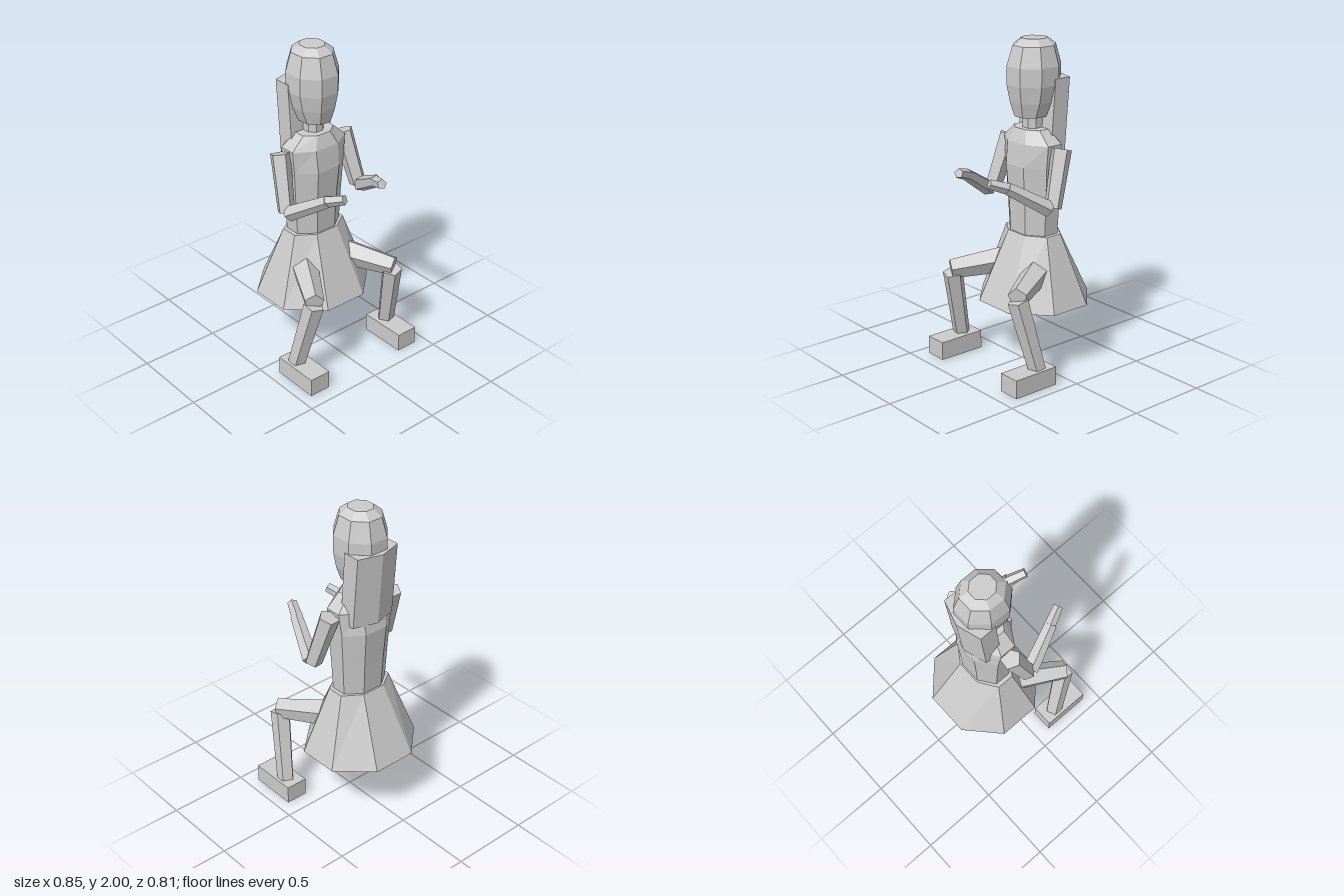
import * as THREE from 'three';

const material = new THREE.MeshStandardMaterial({ color: 0xcccccc, flatShading: true });

function addMesh(parent, name, geometry) {
  const mesh = new THREE.Mesh(geometry, material);
  mesh.name = name;
  parent.add(mesh);
  return mesh;
}

// Octagonal body through rings [y, half width, front z, back z], top to bottom
function octagonLoft(rings) {
  const n = rings.length - 1;
  const g = new THREE.CylinderGeometry(1, 1, 1, 8, n, false, Math.PI / 8);
  const p = g.attributes.position;
  const k = 1 / Math.cos(Math.PI / 8);
  for (let i = 0; i < p.count; i++) {
    const [y, w, front, back] = rings[Math.round((0.5 - p.getY(i)) * n)];
    p.setXYZ(i, p.getX(i) * k * w, y, (front + back) / 2 + p.getZ(i) * k * (front - back) / 2);
  }
  g.computeVertexNormals();
  return g;
}

// Tapered five-sided limb between two points
function addLimb(parent, name, from, to, r0, r1) {
  const a = new THREE.Vector3(...from), b = new THREE.Vector3(...to);
  const dir = b.clone().sub(a);
  const mesh = addMesh(parent, name, new THREE.CylinderGeometry(r1, r0, dir.length(), 5));
  mesh.position.copy(a).add(b).multiplyScalar(0.5);
  mesh.quaternion.setFromUnitVectors(new THREE.Vector3(0, 1, 0), dir.normalize());
  return mesh;
}

export function createModel() {
  const model = new THREE.Group();
  model.name = 'seatedFigure';

  // Head, neck, torso and skirt
  addMesh(model, 'head', octagonLoft([
    [2.0, 0.07, -0.015, -0.165],
    [1.96, 0.115, 0.035, -0.215],
    [1.84, 0.145, 0.07, -0.248],
    [1.73, 0.145, 0.07, -0.248],
    [1.63, 0.125, 0.053, -0.215],
    [1.54, 0.09, 0.03, -0.16],
  ]));
  addMesh(model, 'neck', octagonLoft([
    [1.56, 0.058, -0.022, -0.14],
    [1.45, 0.058, -0.022, -0.14],
  ]));
  addMesh(model, 'torso', octagonLoft([
    [1.47, 0.115, 0.015, -0.155],
    [1.39, 0.2, 0.045, -0.205],
    [1.25, 0.19, 0.06, -0.232],
    [1.02, 0.175, 0.042, -0.215],
    [0.81, 0.163, 0.035, -0.205],
  ]));
  addMesh(model, 'skirt', octagonLoft([
    [0.83, 0.19, 0.045, -0.215],
    [0.395, 0.34, 0.225, -0.41],
  ]));

  // Long hair hanging behind the head, leaning back towards the top
  const outline = new THREE.Shape([
    [0, 0.245], [-0.15, 0.2], [-0.15, 0.09], [0.15, 0.09], [0.15, 0.2],
  ].map(([x, y]) => new THREE.Vector2(x, y)));
  const hair = new THREE.ExtrudeGeometry(outline, { depth: 0.46, bevelEnabled: false });
  hair.rotateX(-Math.PI / 2);
  const hp = hair.attributes.position;
  for (let i = 0; i < hp.count; i++) hp.setZ(i, hp.getZ(i) - 0.08 * hp.getY(i));
  hair.translate(0, 1.31, 0);
  hair.computeVertexNormals();
  addMesh(model, 'hair', hair);

  // Bent arms and legs, mirrored
  for (const s of [1, -1]) {
    const side = s > 0 ? 'left' : 'right';

    const arm = new THREE.Group();
    arm.name = side + 'Arm';
    addLimb(arm, side + 'UpperArm', [s * 0.24, 1.375, -0.095], [s * 0.28, 1.045, 0.005], 0.063, 0.053);
    addLimb(arm, side + 'Forearm', [s * 0.28, 1.045, 0.03], [s * 0.187, 1.195, 0.27], 0.05, 0.038);
    addLimb(arm, side + 'Hand', [s * 0.188, 1.19, 0.26], [s * 0.142, 1.23, 0.367], 0.036, 0.03);
    model.add(arm);

    const leg = new THREE.Group();
    leg.name = side + 'Leg';
    addLimb(leg, side + 'Thigh', [s * 0.135, 0.62, -0.02], [s * 0.318, 0.572, 0.305], 0.088, 0.062);
    addLimb(leg, side + 'Shin', [s * 0.31, 0.55, 0.295], [s * 0.365, 0.11, 0.195], 0.064, 0.054);
    const foot = addMesh(leg, side + 'Foot', new THREE.BoxGeometry(0.14, 0.115, 0.305));
    foot.position.set(s * 0.356, 0.0575, 0.2525);
    model.add(leg);
  }

  return model;
}
